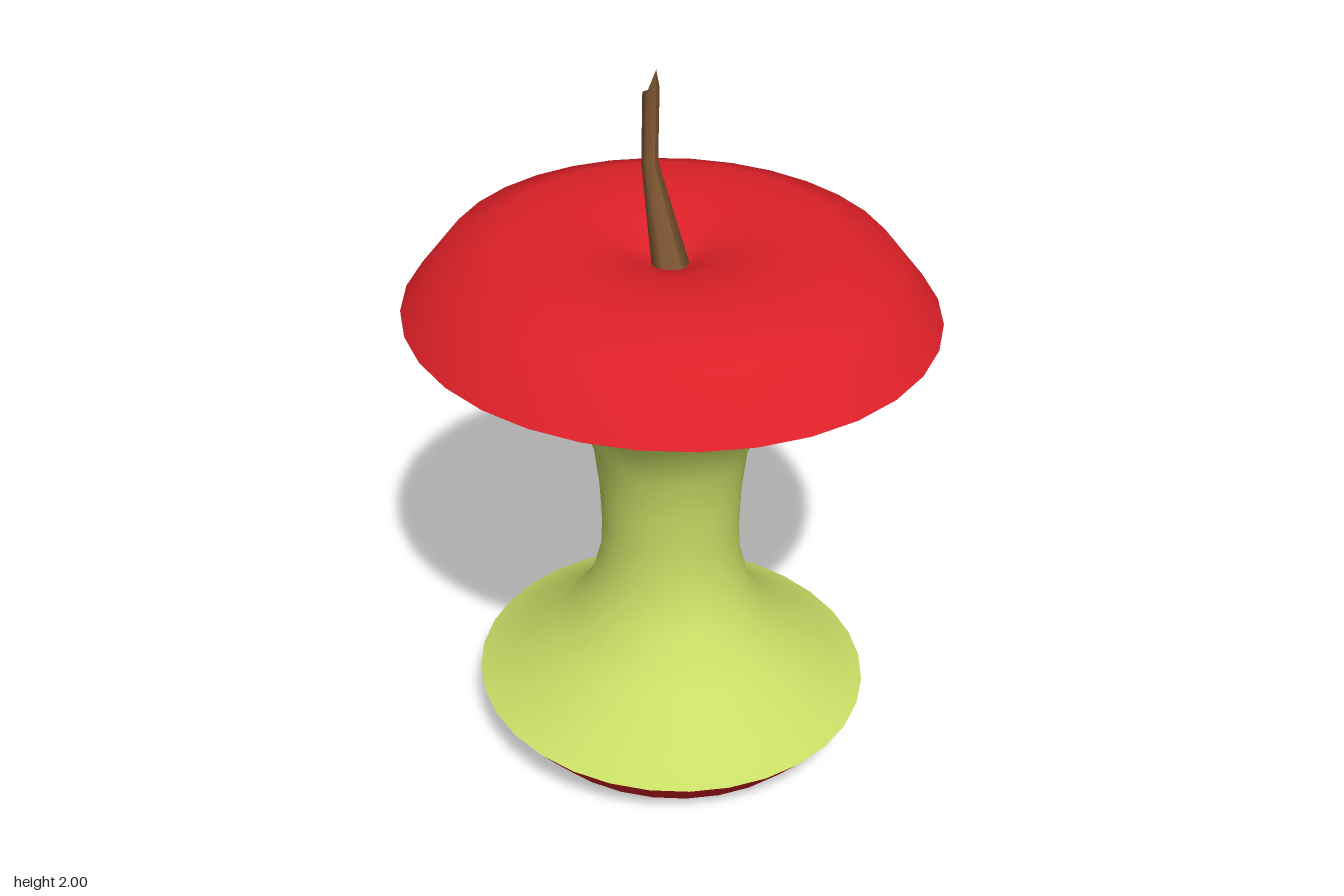
import * as THREE from 'three';

const SEGMENTS = 32;
const DEPTH = 1.05; // the fruit is slightly deeper than wide

const mat = (color) => new THREE.MeshStandardMaterial({ color });

// Surface of revolution from [radius, height] pairs, listed bottom to top
function turned(name, profile, material) {
  const points = profile.map(([r, y]) => new THREE.Vector2(r, y));
  const mesh = new THREE.Mesh(new THREE.LatheGeometry(points, SEGMENTS), material);
  mesh.name = name;
  mesh.scale.z = DEPTH;
  return mesh;
}

// Six-sided bent stem whose slanted tip peaks at the front
function stemGeometry() {
  const rings = [ // top to bottom: y, z, radius
    [1.94, -0.08, 0.022],
    [1.74, -0.087, 0.022],
    [1.48, 0, 0.05],
  ];
  const geo = new THREE.CylinderGeometry(1, 1, 1, 6, rings.length - 1);
  const pos = geo.attributes.position;
  for (let i = 0; i < pos.count; i++) {
    const x = pos.getX(i), z = pos.getZ(i);
    const row = Math.round((0.5 - pos.getY(i)) * (rings.length - 1));
    const [y, cz, r] = rings[row];
    let lift = 0;
    if (row === 0) lift = z > 0.9 ? 0.06 : 0.01 * z;
    pos.setXYZ(i, x * r, y + lift, cz + z * r);
  }
  geo.computeVertexNormals();
  return geo;
}

export function createModel() {
  const group = new THREE.Group();
  group.name = 'appleCore';
  const red = mat(0xdd2028);
  const green = mat(0xc8de66);
  const brown = mat(0x7d5632);

  // Skin around the base, with a shallow hollow underneath
  group.add(turned('bottomSkin', [
    [0, 0.06], [0.08, 0.03], [0.2, 0.003], [0.31, 0.005], [0.46, 0.055], [0.55, 0.165],
  ], red));

  // Eaten flesh, narrow in the middle
  group.add(turned('flesh', [
    [0.55, 0.165], [0.48, 0.2], [0.335, 0.31], [0.23, 0.44], [0.195, 0.575], [0.19, 0.68],
    [0.195, 0.8], [0.21, 0.93], [0.262, 1.07], [0.39, 1.205], [0.56, 1.32], [0.7, 1.36],
  ], green));

  // Skin around the top, dipping toward the stem
  group.add(turned('topSkin', [
    [0.7, 1.36], [0.585, 1.51], [0.453, 1.56], [0.3, 1.563], [0.17, 1.54], [0.07, 1.5], [0, 1.44],
  ], red));

  const stem = new THREE.Mesh(stemGeometry(), brown);
  stem.name = 'stem';
  group.add(stem);
  return group;
}
